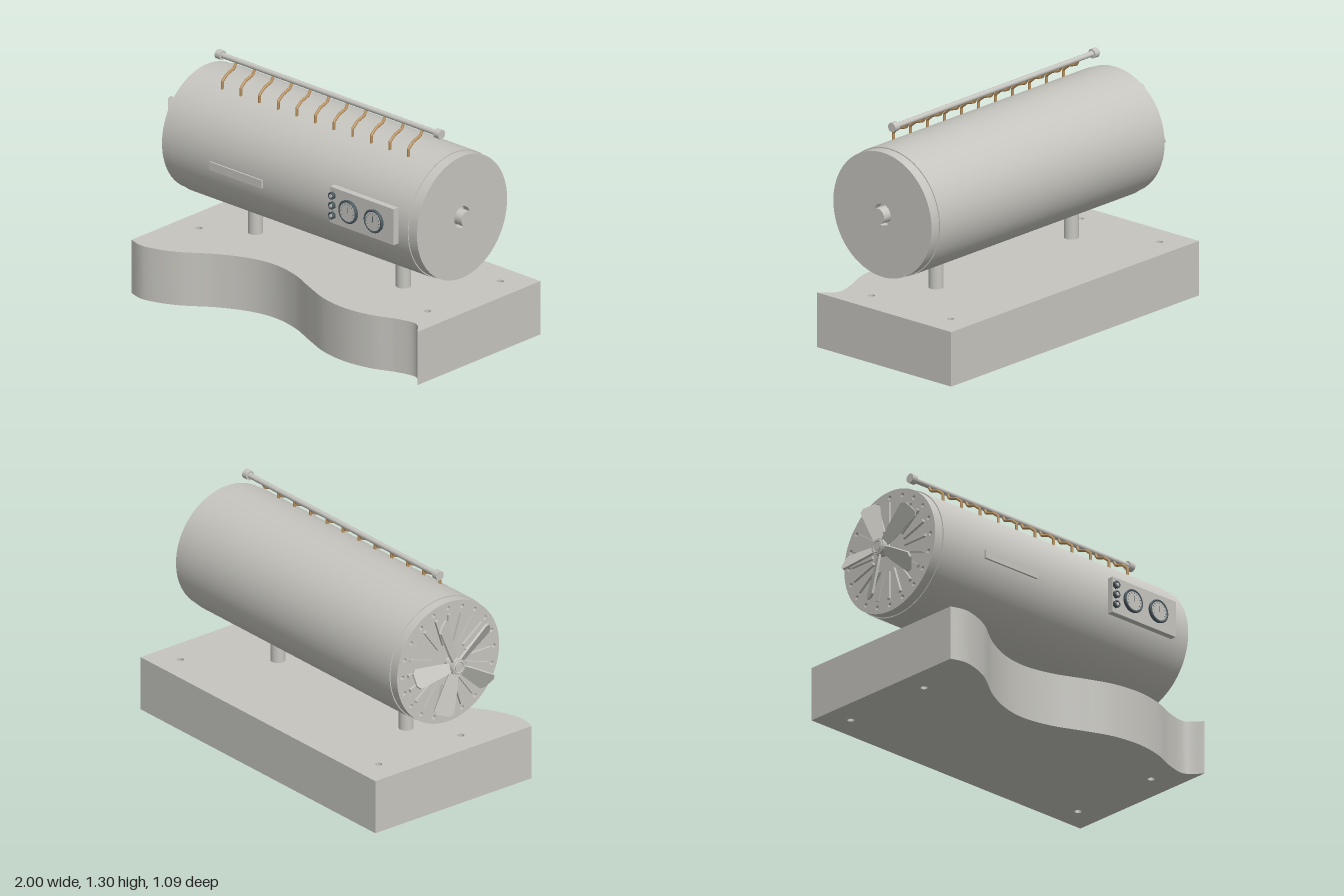
import * as THREE from 'three';
import { toCreasedNormals } from 'three/addons/utils/BufferGeometryUtils.js';

const material = (name, color) => {
  const m = new THREE.MeshStandardMaterial({ color });
  m.name = name;
  return m;
};

const CY = 0.82, CZ = -0.004; // drum axis

export function createModel() {
  const grey = material('light grey metal', 0xc6c5bf);
  const copper = material('copper', 0xb8915f);
  const dark = material('dark bezel', 0x4b5a61);

  const model = new THREE.Group();
  const add = (name, geometry, mat, x = 0, y = 0, z = 0, parent = model) => {
    const mesh = new THREE.Mesh(geometry, mat);
    mesh.name = name;
    mesh.position.set(x, y, z);
    parent.add(mesh);
    return mesh;
  };
  const group = (name, x, y, z, parent = model) => {
    const g = new THREE.Group();
    g.name = name;
    g.position.set(x, y, z);
    parent.add(g);
    return g;
  };
  // Cylinder along x between two ends
  const rodX = (name, r, x0, x1, y, z, segs = 32) =>
    add(name, new THREE.CylinderGeometry(r, r, x1 - x0, segs).rotateZ(-Math.PI / 2), grey, (x0 + x1) / 2, y, z);
  // Cylinder facing +z
  const discZ = (r, depth, segs = 32) => new THREE.CylinderGeometry(r, r, depth, segs).rotateX(Math.PI / 2);
  const circlePath = (x, y, r, n) => {
    const pts = [];
    for (let i = 0; i < n; i++) {
      const a = (i / n) * Math.PI * 2;
      pts.push(new THREE.Vector2(x + r * Math.cos(a), y + r * Math.sin(a)));
    }
    return new THREE.Path(pts);
  };
  const extrude = (shape, depth, curveSegments = 12) =>
    new THREE.ExtrudeGeometry(shape, { depth, bevelEnabled: false, curveSegments });

  // Base slab with a wavy front edge and four through holes
  const wave = [[-0.85, 0.54], [-0.68, 0.48], [-0.5, 0.355], [-0.33, 0.275], [-0.17, 0.25], [0, 0.28],
    [0.17, 0.35], [0.33, 0.41], [0.5, 0.43], [0.66, 0.405], [0.8, 0.35], [0.92, 0.33], [1, 0.405]];
  const slab = new THREE.Shape();
  slab.moveTo(-0.96, -0.52);
  slab.splineThru(wave.map(([x, z]) => new THREE.Vector2(x, -z)));
  slab.lineTo(1, 0.545);
  slab.lineTo(-0.96, 0.545);
  slab.closePath();
  for (const x of [-0.81, 0.845]) {
    for (const z of [-0.4, 0.16]) slab.holes.push(circlePath(x, -z, 0.019, 20));
  }
  add('base', toCreasedNormals(extrude(slab, 0.305, 8).rotateX(-Math.PI / 2), 0.5), grey);

  // Support posts
  for (const x of [-0.555, 0.515]) {
    add('post', new THREE.CylinderGeometry(0.04, 0.04, 0.19, 32), grey, x, 0.395, CZ);
  }

  // Drum shell
  rodX('drum', 0.354, -0.85, 0.88, CY, CZ, 96);

  // Right cap with a recess around the shaft
  const capProfile = [[0.348, 0], [0.348, 0.06], [0.06, 0.06], [0.06, 0.02], [0, 0.02]]
    .map(([r, h]) => new THREE.Vector2(r, h));
  const cap = toCreasedNormals(new THREE.LatheGeometry(capProfile, 96).rotateZ(-Math.PI / 2), 0.5);
  add('shaftCap', cap, grey, 0.88, CY, CZ).material.side = THREE.DoubleSide;
  rodX('shaft', 0.044, 0.9, 0.977, CY, CZ);

  // Left end: perforated cap, radial ribs and fan; local +z points to -x
  const end = group('fanEnd', -0.85, CY, CZ);
  end.rotation.y = -Math.PI / 2;
  const plate = new THREE.Shape(circlePath(0, 0, 0.348, 96).getPoints());
  const ribCount = 20;
  for (let i = 0; i < ribCount; i++) {
    const a = (i / ribCount) * Math.PI * 2;
    plate.holes.push(circlePath(0.312 * Math.cos(a), 0.312 * Math.sin(a), 0.012, 12));
    const rib = add('rib', new THREE.BoxGeometry(0.16, 0.018, 0.02), grey,
      0.2 * Math.cos(a), 0.2 * Math.sin(a), 0.06, end);
    rib.rotation.z = a;
  }
  add('fanCap', toCreasedNormals(extrude(plate, 0.055), 0.5), grey, 0, 0, 0, end);

  // Fan with five pitched paddle blades
  const fan = group('fan', 0, 0, 0.12, end);
  add('fanHub', discZ(0.045, 0.05), grey, 0, 0, 0, fan);
  add('fanShaft', discZ(0.025, 0.1), grey, 0, 0, -0.02, fan);
  add('fanHubRing', new THREE.TorusGeometry(0.033, 0.005, 8, 32), grey, 0, 0, 0.025, fan);
  const paddle = new THREE.Shape([[0.03, -0.022], [0.1, -0.035], [0.26, -0.055], [0.28, -0.035],
    [0.28, 0.035], [0.26, 0.055], [0.1, 0.035], [0.03, 0.022]].map(([x, y]) => new THREE.Vector2(x, y)));
  const bladeGeometry = extrude(paddle, 0.012).translate(0, 0, -0.006).rotateX(0.5);
  for (let i = 0; i < 5; i++) {
    add('fanBlade', bladeGeometry, grey, 0, 0, 0, fan).rotation.z = Math.PI + (i * Math.PI * 2) / 5;
  }

  // Top rail with end knobs
  rodX('rail', 0.015, -0.78, 0.815, 1.27, 0.032, 24);
  rodX('railEnd', 0.026, -0.793, -0.758, 1.27, 0.032);
  rodX('railEnd', 0.026, 0.79, 0.827, 1.27, 0.032);

  // Bent copper pipes from drum to rail
  const bends = [[1.13, 0.142], [1.185, 0.142], [1.215, 0.105], [1.232, 0.052], [1.262, 0.034]]
    .map(([y, z]) => new THREE.Vector3(0, y, z));
  const pipePath = new THREE.CurvePath();
  for (let i = 0; i < bends.length - 1; i++) pipePath.add(new THREE.LineCurve3(bends[i], bends[i + 1]));
  const pipe = new THREE.TubeGeometry(pipePath, 28, 0.008, 10);
  for (let i = 0; i < 11; i++) add('pipe', pipe, copper, -0.657 + i * 0.1347);

  // Name plate
  add('plate', new THREE.BoxGeometry(0.38, 0.046, 0.03), grey, -0.36, 0.798, 0.344);

  // Control panel with gauges and knobs
  const panel = group('controlPanel', 0.58, 0.843, 0.385);
  add('panelBoard', new THREE.BoxGeometry(0.46, 0.205, 0.036), grey, 0, 0, -0.018, panel);
  for (const x of [-0.09, 0.094]) {
    const gauge = group('gauge', x, 0, 0, panel);
    add('gaugeBody', discZ(0.062, 0.016, 48), dark, 0, 0, 0.008, gauge);
    add('gaugeBezel', new THREE.TorusGeometry(0.06, 0.006, 10, 48), dark, 0, 0, 0.014, gauge);
    add('gaugeFace', discZ(0.053, 0.004, 48), grey, 0, 0, 0.016, gauge);
    for (let i = 0; i < 11; i++) {
      const a = -0.5 + (i / 10) * (Math.PI + 1);
      const tick = add('gaugeTick', new THREE.BoxGeometry(0.009, 0.002, 0.002), dark,
        0.045 * Math.cos(a), 0.045 * Math.sin(a), 0.0185, gauge);
      tick.rotation.z = a;
    }
    add('gaugeNeedle', new THREE.BoxGeometry(0.003, 0.034, 0.002), dark, 0, 0.012, 0.0185, gauge);
  }
  for (const y of [-0.055, 0.002, 0.058]) {
    add('knobBase', discZ(0.022, 0.012, 6), dark, -0.21, y, 0.006, panel);
    add('knobRing', new THREE.TorusGeometry(0.016, 0.005, 8, 24), dark, -0.21, y, 0.014, panel);
    add('knobCentre', discZ(0.009, 0.02, 20), grey, -0.21, y, 0.01, panel);
  }
  return model;
}
